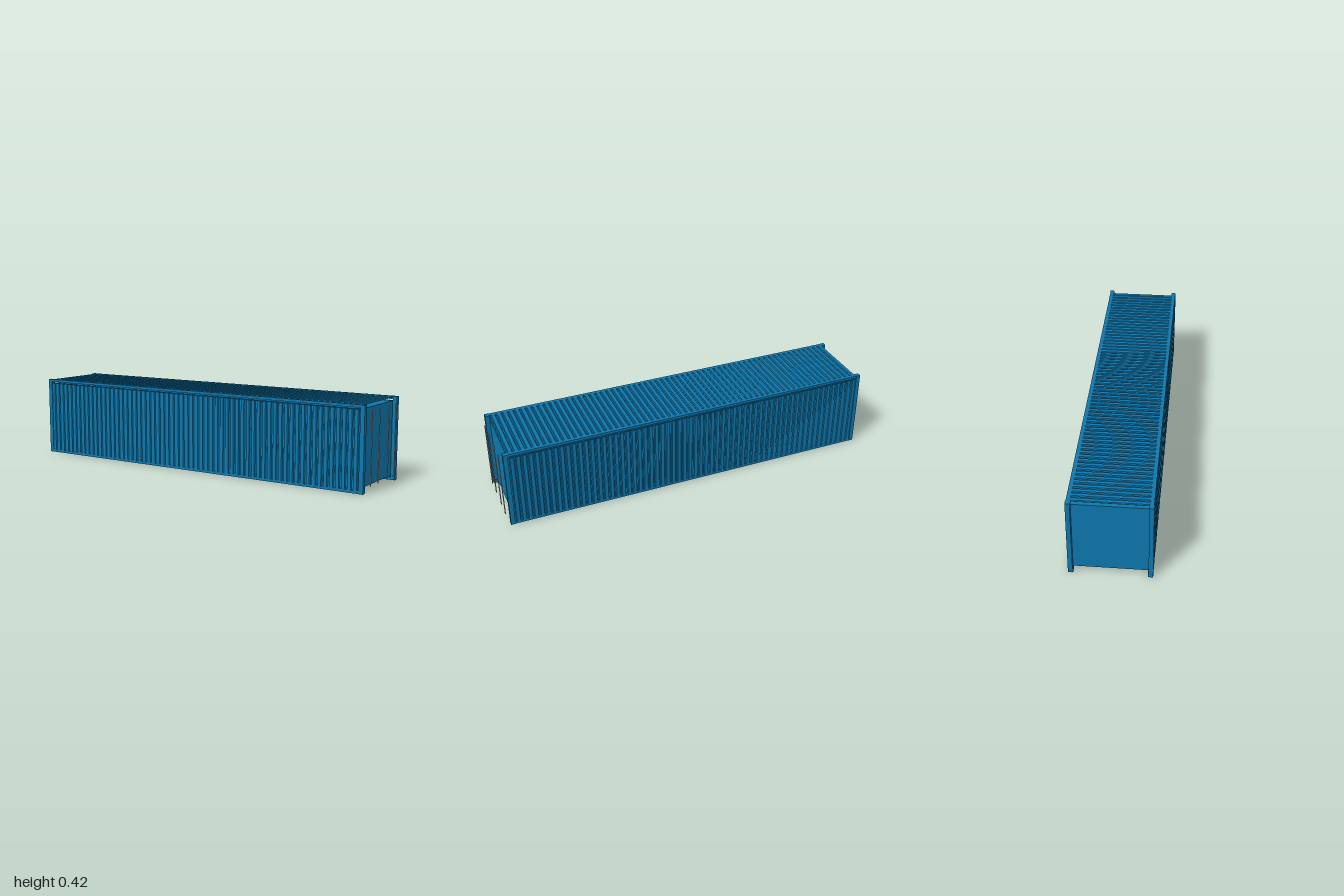
import * as THREE from 'three';

export function createModel() {
  const root = new THREE.Group();
  root.name = 'shippingContainer';
  const blue = new THREE.MeshStandardMaterial({ color: 0x0e77ad });
  blue.name = 'container blue';
  const steel = new THREE.MeshStandardMaterial({ color: 0xb5aaa5 });
  steel.name = 'rod steel';

  const add = (name, geometry, material = blue) => {
    const mesh = new THREE.Mesh(geometry, material);
    mesh.name = name;
    root.add(mesh);
    return mesh;
  };
  // Box given by its lower and upper corners
  const box = (name, [x0, x1], [y0, y1], [z0, z1], material) =>
    add(name, new THREE.BoxGeometry(x1 - x0, y1 - y0, Math.abs(z1 - z0)), material)
      .position.set((x0 + x1) / 2, (y0 + y1) / 2, (z0 + z1) / 2);

  const L = -1, R = 0.985, H = 0.424, POST = 0.023;
  const inner = [L + POST, R - POST];

  // Corrugated sheet: trapezoid ridges along x, extruded by length
  const corrugated = (length, back, depth) => {
    const ridges = 62, pitch = (inner[1] - inner[0]) / ridges;
    const shape = new THREE.Shape();
    shape.moveTo(inner[0], back);
    shape.lineTo(inner[1], back);
    for (let i = ridges - 1; i >= 0; i--) {
      const x = inner[0] + i * pitch;
      shape.lineTo(x + pitch, back + 0.001);
      shape.lineTo(x + pitch * 0.8, back + 0.001);
      shape.lineTo(x + pitch * 0.68, back + depth);
      shape.lineTo(x + pitch * 0.12, back + depth);
      shape.lineTo(x, back + 0.001);
    }
    return new THREE.ExtrudeGeometry(shape, { depth: length, bevelEnabled: false });
  };

  // Inner body with floor, ceiling and end walls
  box('body', inner, [0.022, 0.402], [-0.178, 0.178]);

  // Raised roof sheet
  add('roofSheet', corrugated(0.356, 0.4185, 0.0055).translate(0, 0, -0.178));

  // Side sheets
  const top = 0.402, bottom = 0.013;
  add('frontSheet', corrugated(top - bottom, 0.193, 0.007).rotateX(Math.PI / 2).translate(0, top, 0));
  add('backSheet', corrugated(top - bottom, 0.193, 0.007).rotateX(-Math.PI / 2).translate(0, bottom, 0));

  // Rails, corner posts and corner fittings
  for (const s of [-1, 1]) {
    const side = s > 0 ? 'front' : 'back';
    box(side + 'TopRail', inner, [0.41, H], [s * 0.178, s * 0.198]);
    box(side + 'BottomRail', inner, [0, 0.014], [s * 0.178, s * 0.198]);
    for (const x of [[L, L + POST], [R - POST, R]]) {
      box(side + 'CornerPost', x, [0, H], [s * 0.178, s * 0.2]);
      const fx = [x[0] + 0.001, x[1] - 0.001];
      box(side + 'LowerFitting', fx, [0.001, 0.02], [s * 0.175, s * 0.199]);
      box(side + 'UpperFitting', fx, [0.404, H - 0.001], [s * 0.175, s * 0.199]);
    }
  }

  // Door locking rods
  for (const z of [0.14, 0.055, -0.055, -0.138]) {
    const rod = add('lockingRod', new THREE.CylinderGeometry(0.0028, 0.0028, 0.366, 10), steel);
    rod.position.set(0.997, 0.2125, z);
  }
  return root;
}
